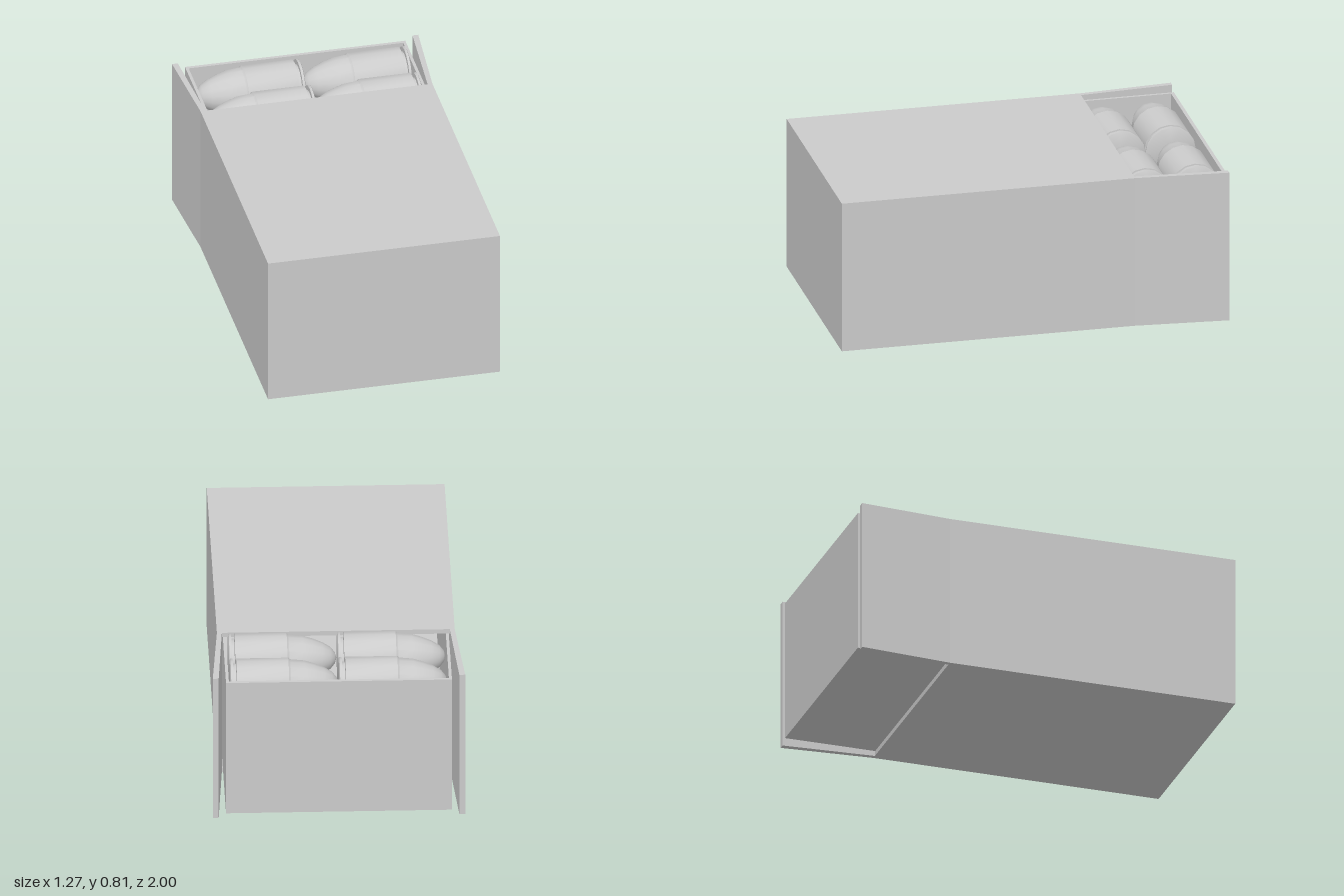
import * as THREE from 'three';
import { toCreasedNormals } from 'three/addons/utils/BufferGeometryUtils.js';

const grey = new THREE.MeshStandardMaterial({ color: 0xcccccc });

function add(parent, name, geometry, x = 0, y = 0, z = 0) {
  const mesh = new THREE.Mesh(geometry, grey);
  mesh.name = name;
  mesh.position.set(x, y, z);
  parent.add(mesh);
  return mesh;
}

// Box given by its minimum and maximum corners
function slab(parent, name, a, b) {
  const size = b.map((v, i) => v - a[i]);
  const mid = b.map((v, i) => (v + a[i]) / 2);
  return add(parent, name, new THREE.BoxGeometry(...size), ...mid);
}

// Cartridge lying along x: tip at x = -0.55, base at x = 0
function cartridgeGeometry() {
  const profile = [
    [0, 0.005], [0.125, 0.005], [0.13, 0.008], [0.13, 0.02], // rim
    [0.105, 0.02], [0.105, 0.035], [0.13, 0.037],            // extractor groove
    [0.13, 0.3], [0.122, 0.31],                              // case and mouth
    [0.115, 0.38], [0.1, 0.43], [0.08, 0.48], [0.056, 0.52], [0.028, 0.543], [0, 0.55], // bullet
  ].map(([r, y]) => new THREE.Vector2(r, y));
  const geometry = new THREE.LatheGeometry(profile, 16);
  geometry.rotateZ(Math.PI / 2);
  return toCreasedNormals(geometry, 0.6);
}

export function createModel() {
  const model = new THREE.Group();

  // Sleeve: closed front and two sides whose ends flare out as flaps (plan outline, extruded upward)
  const sleeve = new THREE.Group();
  sleeve.name = 'sleeve';
  model.add(sleeve);
  const half = [[0.6, -1], [0.6, 0.52], [0.637, 1], [0.607, 1], [0.575, 0.52], [0.575, -0.975]];
  const mirrored = half.map(([x, y]) => [-x, y]).reverse();
  const plan = new THREE.Shape([...half, ...mirrored].map(([x, y]) => new THREE.Vector2(x, y)));
  const walls = new THREE.ExtrudeGeometry(plan, { depth: 0.8, bevelEnabled: false });
  walls.rotateX(-Math.PI / 2);
  add(sleeve, 'sleeveWalls', walls);
  slab(sleeve, 'sleeveTop', [-0.575, 0.775, -0.52], [0.575, 0.8, 0.975]);
  slab(sleeve, 'sleeveBottom', [-0.575, 0, -0.52], [0.575, 0.025, 0.975]);

  // Inner tray, open at the top
  const tray = new THREE.Group();
  tray.name = 'tray';
  model.add(tray);
  slab(tray, 'trayFloor', [-0.57, 0.025, -1], [0.57, 0.045, 0.97]);
  slab(tray, 'trayBack', [-0.57, 0.045, -1], [0.57, 0.774, -0.982]);
  slab(tray, 'trayFront', [-0.57, 0.045, 0.952], [0.57, 0.774, 0.97]);
  for (const s of [-1, 1]) {
    slab(tray, s > 0 ? 'trayLeft' : 'trayRight',
      [s * 0.5625 - 0.0075, 0.045, -0.982], [s * 0.5625 + 0.0075, 0.774, 0.952]);
  }

  // Cartridges: two columns, two rows, three layers
  const cartridges = new THREE.Group();
  cartridges.name = 'cartridges';
  model.add(cartridges);
  const cartridge = cartridgeGeometry();
  for (const y of [0.175, 0.43, 0.685]) {
    for (const z of [-0.85, -0.59]) {
      for (const x of [0, 0.55]) add(cartridges, 'cartridge', cartridge, x, y, z);
    }
  }
  return model;
}
